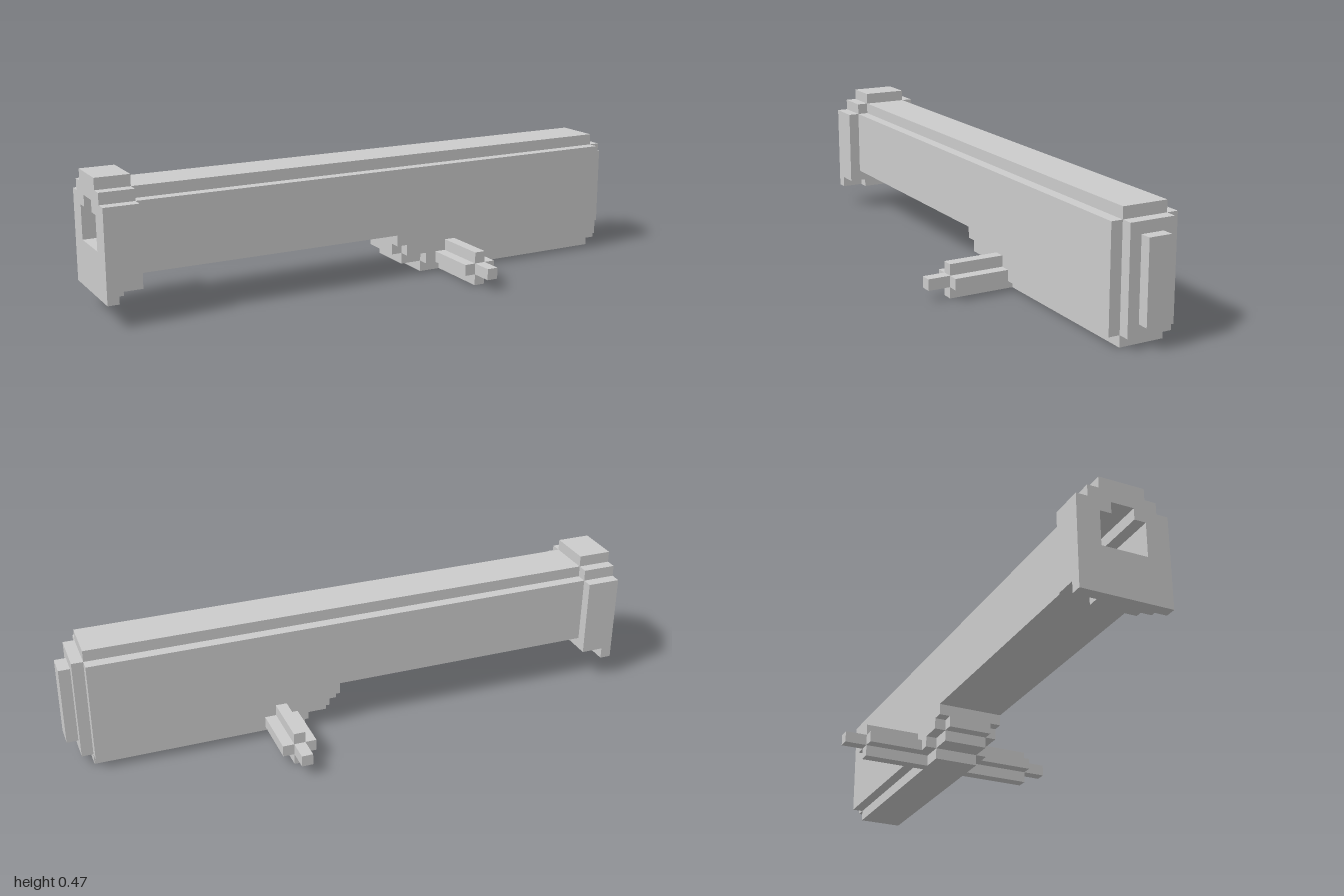
import * as THREE from 'three';

// Everything sits on a grid of cubes: 51 long, 12 high, 20 wide
const U = 2 / 51;
const material = new THREE.MeshStandardMaterial({ color: 0xcccccc, flatShading: true });

export function createModel() {
  const model = new THREE.Group();
  model.name = 'blockCannon';

  const add = (name, geometry, parent = model) => {
    const mesh = new THREE.Mesh(geometry, material);
    mesh.name = name;
    parent.add(mesh);
    return mesh;
  };

  // Box between grid limits
  const box = (name, x0, x1, y0, y1, z0, z1, parent) => {
    const g = new THREE.BoxGeometry((x1 - x0) * U, (y1 - y0) * U, (z1 - z0) * U);
    g.translate(((x0 + x1) / 2 - 25.5) * U, ((y0 + y1) / 2) * U, ((z0 + z1) / 2) * U);
    return add(name, g, parent);
  };

  // Symmetric outline from right-hand [z, y] points, bottom to top
  const outline = (half) => [
    ...half.map(([z, y]) => new THREE.Vector2(z * U, y * U)),
    ...half.slice().reverse().map(([z, y]) => new THREE.Vector2(-z * U, y * U)),
  ];
  const bore = [[2, 6], [2, 9], [1, 9], [1, 10]];

  // Stepped section swept along x, optionally with the bore cut through
  const section = (name, x0, x1, half, hollow) => {
    const shape = new THREE.Shape(outline(half));
    if (hollow) shape.holes.push(new THREE.Path(outline(bore)));
    const g = new THREE.ExtrudeGeometry(shape, { depth: (x1 - x0) * U, bevelEnabled: false });
    g.rotateY(Math.PI / 2);
    g.translate((x0 - 25.5) * U, 0, 0);
    return add(name, g);
  };

  // Muzzle: front lip reaches one step lower than the collar behind it
  const muzzleTop = [[4, 10], [3, 10], [3, 11], [2, 11], [2, 12]];
  section('muzzleLip', 0, 1, [[4, 2], ...muzzleTop], true);
  section('muzzleCollar', 1, 3, [[4, 3], ...muzzleTop], true);
  box('muzzleFoot', 1, 2, 2, 3, -2, 2);

  // Barrel, hollow in front and deepening in steps toward the breech
  const barrelTop = [[3, 10], [2, 10], [2, 11]];
  section('barrel', 3, 27, [[3, 4], ...barrelTop], true);
  section('breechStepFront', 27, 28, [[2, 2], [2, 3], [3, 3], ...barrelTop]);
  section('breechStepMiddle', 28, 30, [[2, 1], [2, 2], [3, 2], ...barrelTop]);
  section('breech', 30, 49, [[2, 0], [2, 1], [3, 1], ...barrelTop]);

  // Stepped rear cap
  box('rearCap', 49, 50, 1, 10, -2, 2);
  box('rearRidge', 50, 51, 2, 9, -1, 1);

  // Cross-shaped side pivots with a thin tip
  for (const side of [1, -1]) {
    const pivot = new THREE.Group();
    pivot.name = side > 0 ? 'frontPivot' : 'backPivot';
    model.add(pivot);
    const span = (a, b) => (side > 0 ? [a, b] : [-b, -a]);
    box('pivotFlange', 31, 34, 1, 2, ...span(3, 8), pivot);
    box('pivotTopRib', 32, 33, 2, 3, ...span(3, 8), pivot);
    box('pivotBottomRib', 32, 33, 0, 1, ...span(2, 8), pivot);
    box('pivotTip', 32, 33, 1, 2, ...span(8, 10), pivot);
  }

  return model;
}
